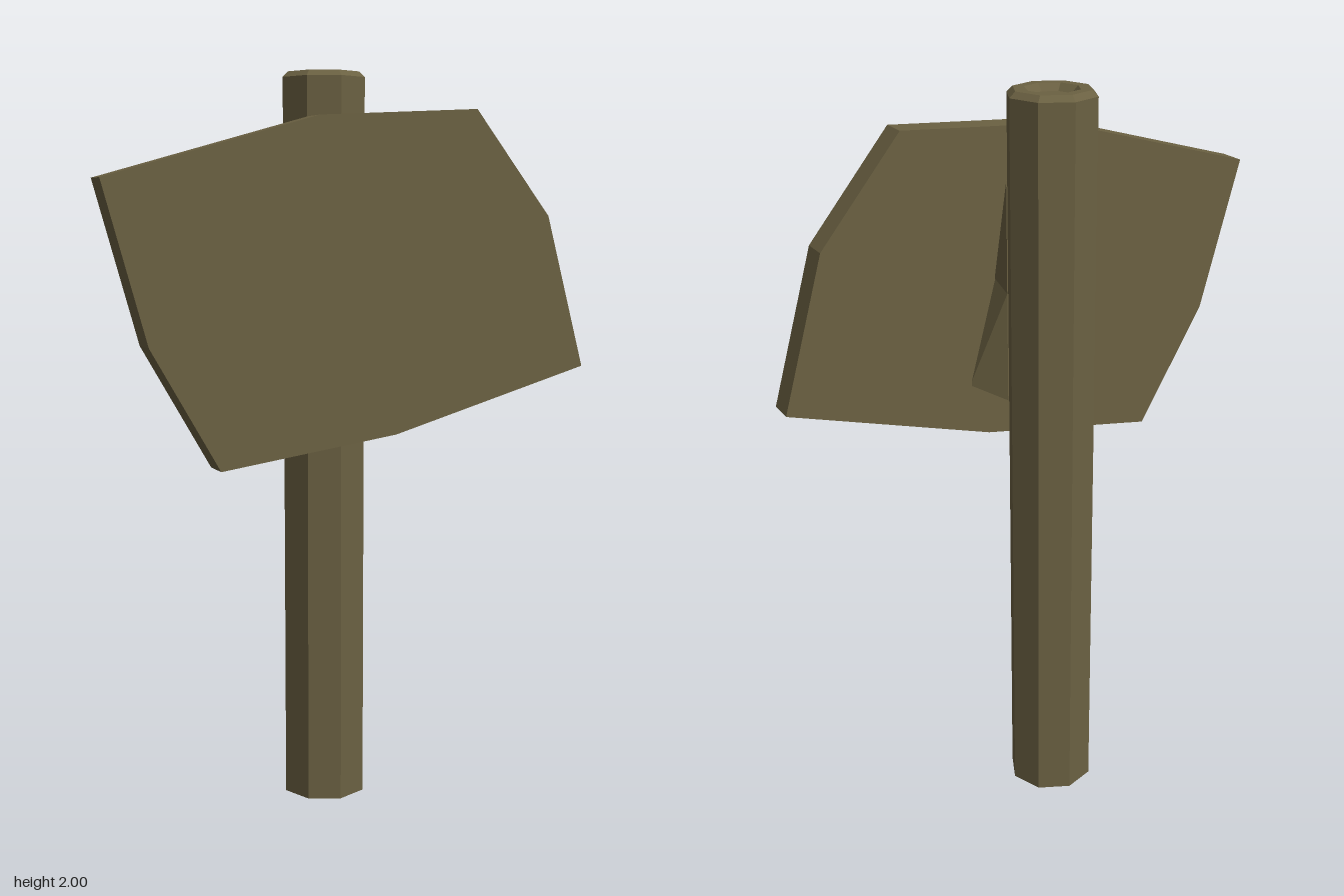
import * as THREE from 'three';

const wood = new THREE.MeshStandardMaterial({ color: 0x6b6142, flatShading: true });

function add(group, name, geometry) {
  const mesh = new THREE.Mesh(geometry, wood);
  mesh.name = name;
  group.add(mesh);
  return mesh;
}

// Rectangle outline with extra points halfway up its sides, turned about its centre
function outline(halfW, halfH, angle, y, z) {
  const corners = [[1, 1], [-1, 1], [-1, 0], [-1, -1], [1, -1], [1, 0]];
  const c = Math.cos(angle), s = Math.sin(angle);
  return corners.map(([u, v]) => {
    const px = u * halfW, py = v * halfH;
    return [px * c - py * s, y + px * s + py * c, z];
  });
}

// Joins two outlines (front, back) and caps the back
function loft(front, back) {
  const n = front.length, index = [];
  for (let i = 0; i < n; i++) {
    const j = (i + 1) % n;
    index.push(i, n + i, n + j, i, n + j, j);
    if (i > 0 && i < n - 1) index.push(n, n + i + 1, n + i);
  }
  const g = new THREE.BufferGeometry();
  g.setAttribute('position', new THREE.Float32BufferAttribute([...front, ...back].flat(), 3));
  g.setIndex(index);
  g.computeVertexNormals();
  return g;
}

export function createModel() {
  const group = new THREE.Group();
  group.name = 'signpost';

  // Octagonal post with a bevelled rim and a shallow hollow in the top
  const profile = [[0, 0], [0.118, 0], [0.118, 1.985], [0.102, 2], [0.073, 2], [0.055, 1.982], [0, 1.982]]
    .map(([r, y]) => new THREE.Vector2(r, y));
  add(group, 'post', new THREE.LatheGeometry(profile, 8)).position.z = -0.058;

  // Crooked board
  const boardShape = new THREE.Shape([
    [-0.685, 1.715], [-0.57, 1.3], [-0.385, 0.978], [0.11, 1.045],
    [0.685, 1.205], [0.567, 1.62], [0.342, 1.9], [-0.11, 1.875],
  ].map(([x, y]) => new THREE.Vector2(x, y)));
  add(group, 'board', new THREE.ExtrudeGeometry(boardShape, { depth: 0.079, bevelEnabled: false }))
    .position.z = 0.097;

  // Twisted mount: upright at the post, tilted at the board
  add(group, 'mount', loft(
    outline(0.0885, 0.3, THREE.MathUtils.degToRad(15), 1.46, 0.1),
    outline(0.085, 0.3, 0, 1.46, 0.028),
  ));

  return group;
}
